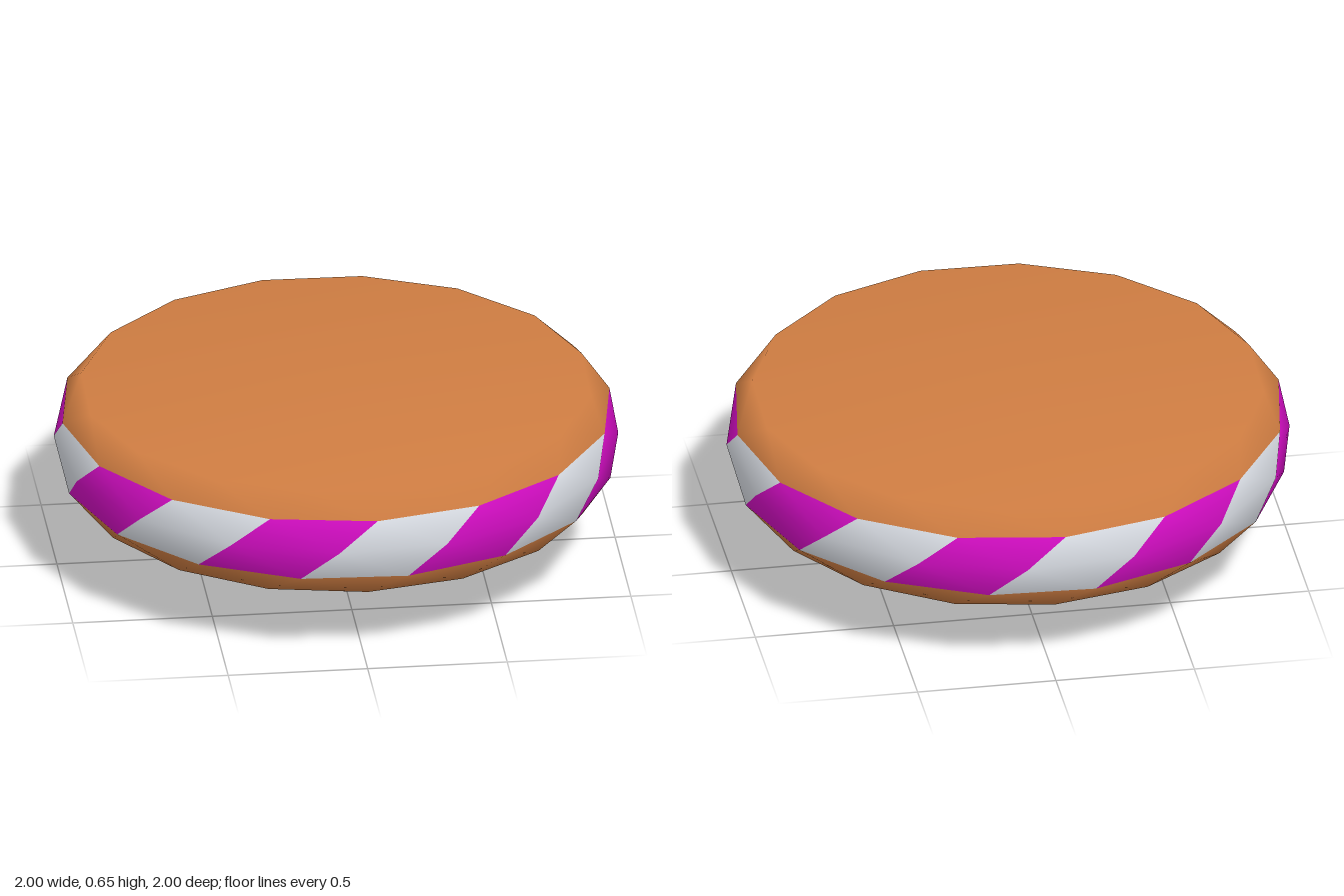
import * as THREE from 'three';

const SIDES = 16;
const STEP = (Math.PI * 2) / SIDES;

// Disc rings from bottom to top: height, radius, twist in degrees
const RINGS = [
  [0.26, 0.912, -21.75],
  [0.345, 0.985, -13.75],
  [0.457, 1.005, -5.75],
  [0.57, 0.985, 2.2],
  [0.655, 0.912, 10.2],
];

function material(name, color) {
  const m = new THREE.MeshStandardMaterial({ color });
  m.name = name;
  return m;
}

// Twisted disc whose band alternates between two stripe colours
function discGeometry() {
  const positions = [];
  for (const [y, r, twist] of RINGS) {
    for (let i = 0; i < SIDES; i++) {
      const a = i * STEP + THREE.MathUtils.degToRad(twist);
      positions.push(r * Math.sin(a), y, r * Math.cos(a));
    }
  }
  const bottom = positions.length / 3;
  const top = bottom + 1;
  positions.push(0, RINGS[0][0], 0, 0, RINGS[4][0], 0);

  const faces = [[], [], []]; // body, dark stripe, light stripe
  const at = (ring, i) => ring * SIDES + (i % SIDES);
  for (let i = 0; i < SIDES; i++) {
    for (let k = 0; k < 4; k++) {
      const a = at(k, i), b = at(k, i + 1), c = at(k + 1, i + 1), d = at(k + 1, i);
      const slot = k === 0 || k === 3 ? 0 : i % 2 ? 1 : 2;
      faces[slot].push(a, b, d, b, c, d);
    }
    // Flat caps
    faces[0].push(top, at(4, i), at(4, i + 1));
    faces[0].push(bottom, at(0, i + 1), at(0, i));
  }

  const geometry = new THREE.BufferGeometry();
  geometry.setAttribute('position', new THREE.Float32BufferAttribute(positions, 3));
  geometry.setIndex(faces.flat());
  let start = 0;
  faces.forEach((f, slot) => {
    geometry.addGroup(start, f.length, slot);
    start += f.length;
  });
  geometry.computeVertexNormals();
  return geometry;
}

export function createModel() {
  const group = new THREE.Group();
  group.name = 'stripedKnob';

  const orange = material('orange', 0xcf7d42);
  const magenta = material('magenta', 0xd10dc1);
  const white = material('paleGrey', 0xd8dce3);
  const brown = material('darkBrown', 0x472526);
  brown.side = THREE.DoubleSide;

  const disc = new THREE.Mesh(discGeometry(), [orange, magenta, white]);
  disc.name = 'stripedDisc';
  group.add(disc);

  // Open octagonal tube under the disc
  const stem = new THREE.Mesh(new THREE.CylinderGeometry(0.348, 0.348, 0.26, 8, 1, true), brown);
  stem.name = 'stem';
  stem.position.y = 0.13;
  group.add(stem);

  return group;
}
